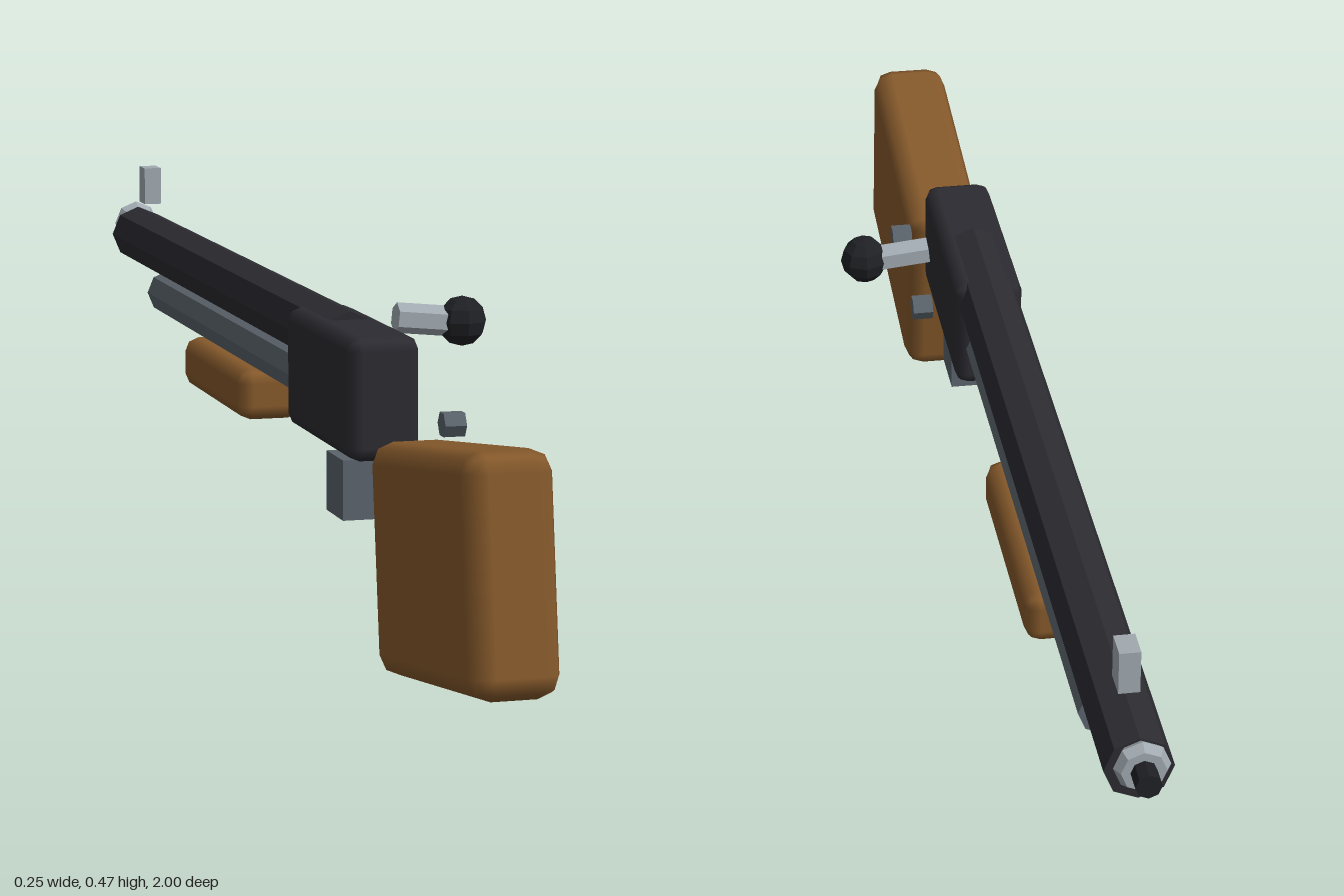
import * as THREE from 'three';
import { RoundedBoxGeometry } from 'three/addons/geometries/RoundedBoxGeometry.js';

const AXIS_X = -0.068; // centre line of the long parts

function mat(name, color) {
  const m = new THREE.MeshStandardMaterial({ color });
  m.name = name;
  return m;
}

// Faceted copy of a geometry
function faceted(geometry) {
  const g = geometry.index ? geometry.toNonIndexed() : geometry;
  g.computeVertexNormals();
  return g;
}

export function createModel() {
  const group = new THREE.Group();
  group.name = 'rifle';

  const wood = mat('wood', 0x85592b);
  const gunmetal = mat('gunmetal', 0x2b2b31);
  const steel = mat('steel', 0x5b646c);
  const brightSteel = mat('bright steel', 0xa0a9b0);
  const black = mat('black', 0x1f2024);

  function add(name, geometry, material, x, y, z) {
    const mesh = new THREE.Mesh(geometry, material);
    mesh.name = name;
    mesh.position.set(x, y, z);
    group.add(mesh);
    return mesh;
  }
  const rounded = (w, h, d, r) => new RoundedBoxGeometry(w, h, d, 1, r);
  // Tube along z between two ends, with a corner pointing up
  function rod(name, material, r, sides, y, z0, z1) {
    const g = faceted(new THREE.CylinderGeometry(r, r, z1 - z0, sides));
    g.rotateX(Math.PI / 2);
    return add(name, g, material, AXIS_X, y, (z0 + z1) / 2);
  }

  // Wooden furniture
  const stock = add('stock', rounded(0.11, 0.285, 0.41, 0.027), wood, AXIS_X, 0.17, 0.782);
  stock.rotation.x = -0.14;
  add('foreEnd', rounded(0.094, 0.072, 0.347, 0.02), wood, AXIS_X, 0.235, -0.273);

  // Receiver and barrels
  add('receiver', rounded(0.094, 0.158, 0.316, 0.018), gunmetal, AXIS_X, 0.316, 0.302);
  rod('barrel', gunmetal, 0.042, 8, 0.364, -0.943, 0.295);
  rod('lowerTube', steel, 0.033, 8, 0.297, -0.735, 0.2);

  // Muzzle ring and tip
  add('muzzleRing', faceted(new THREE.TorusGeometry(0.02, 0.014, 6, 8)), brightSteel, AXIS_X, 0.379, -0.959);
  rod('muzzleTip', black, 0.016, 8, 0.379, -1, -0.94);

  // Front sight and the block under the receiver
  add('frontSight', new THREE.BoxGeometry(0.026, 0.056, 0.038), brightSteel, AXIS_X, 0.45, -0.856);
  add('lowerBlock', new THREE.BoxGeometry(0.062, 0.078, 0.078), steel, AXIS_X, 0.187, 0.333);

  // Bolt handle, drooping slightly towards its knob
  const handle = faceted(new THREE.CylinderGeometry(0.02, 0.02, 0.09, 6, 1, false, Math.PI / 6));
  handle.rotateZ(Math.PI / 2);
  const bolt = add('boltHandle', handle, brightSteel, 0.046, 0.387, 0.267);
  bolt.rotation.z = -0.1;
  add('boltKnob', faceted(new THREE.SphereGeometry(0.033, 8, 6)), black, 0.091, 0.384, 0.268);

  // Side screws
  for (const z of [0.286, 0.498]) {
    const g = faceted(new THREE.CylinderGeometry(0.017, 0.017, 0.028, 6));
    g.rotateZ(Math.PI / 2);
    add('screw', g, steel, 0.007, 0.289, z);
  }

  return group;
}
